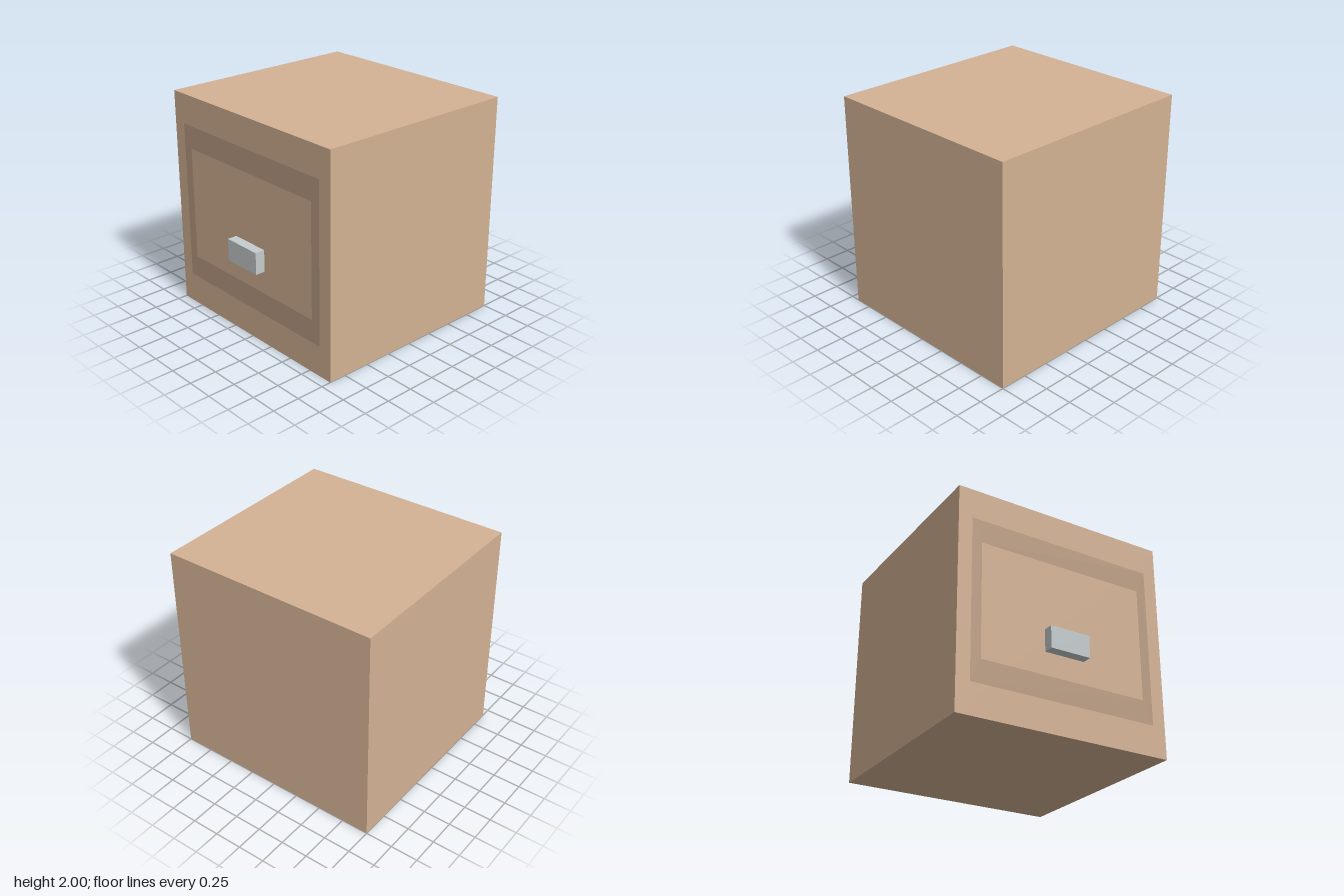
import * as THREE from 'three';

const FRONT = 0.91; // z of the cabinet's front face

const material = (color) => new THREE.MeshStandardMaterial({ color });

function addPart(group, name, geometry, mat, x, y, z) {
  const mesh = new THREE.Mesh(geometry, mat);
  mesh.name = name;
  mesh.position.set(x, y, z);
  group.add(mesh);
}

// Counter-clockwise rectangle centred on the origin
const rectangle = (w, h) => [
  new THREE.Vector2(-w / 2, -h / 2), new THREE.Vector2(w / 2, -h / 2),
  new THREE.Vector2(w / 2, h / 2), new THREE.Vector2(-w / 2, h / 2),
];

export function createModel() {
  const group = new THREE.Group();
  group.name = 'drawerCabinet';

  const wood = material(0xd4b394);
  const darkWood = material(0xbc9e84);
  const metal = material(0xc4cccd);

  // Solid cabinet body
  const depth = FRONT + 1;
  addPart(group, 'cabinetBody', new THREE.BoxGeometry(2, 2, depth), wood, 0, 1, FRONT - depth / 2);

  // Flush dark border around the drawer front
  const border = new THREE.Shape(rectangle(1.75, 1.45));
  border.holes.push(new THREE.Path(rectangle(1.565, 1.035).reverse()));
  addPart(group, 'drawerBorder', new THREE.ShapeGeometry(border), darkWood, 0, 1.004, FRONT + 0.002);

  // Block handle
  const handleDepth = 1 - FRONT;
  addPart(group, 'drawerHandle', new THREE.BoxGeometry(0.375, 0.2, handleDepth), metal,
    0, 0.795, FRONT + handleDepth / 2);

  return group;
}
